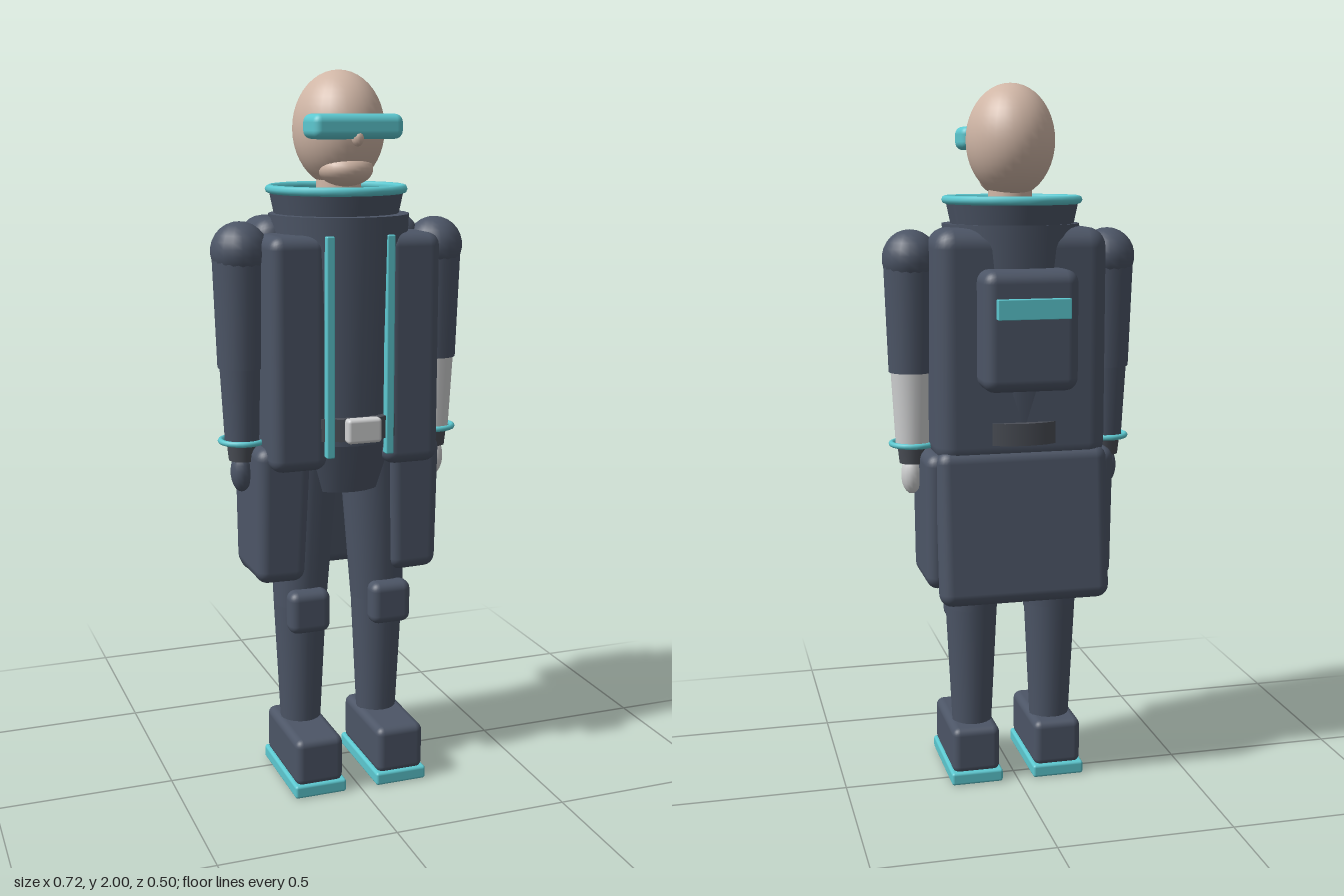
import * as THREE from 'three';
import { RoundedBoxGeometry } from 'three/addons/geometries/RoundedBoxGeometry.js';

const mat = (name, color, side = THREE.FrontSide) => {
  const m = new THREE.MeshStandardMaterial({ color, side });
  m.name = name;
  return m;
};

export function createModel() {
  const suit = mat('slate suit', 0x4c5566);
  const collarMat = mat('slate collar', 0x4c5566, THREE.DoubleSide);
  const trim = mat('cyan trim', 0x5cc8d0);
  const skin = mat('skin', 0xd0b6a6);
  const light = mat('light grey', 0xd0d1d2);
  const charcoal = mat('charcoal', 0x4a4e56);

  const model = new THREE.Group();
  model.name = 'suitedFigure';
  const Z = 0.037; // body axis

  const add = (name, geo, material, x, y, z) => {
    const mesh = new THREE.Mesh(geo, material);
    mesh.name = name;
    mesh.position.set(x, y, z);
    model.add(mesh);
    return mesh;
  };
  // Rounded box given by its limits; the bottom may be tapered
  const box = (name, material, [x0, x1], [y0, y1], [z0, z1], r = 0.02, taper = 1) => {
    const h = y1 - y0;
    const geo = new RoundedBoxGeometry(x1 - x0, h, z1 - z0, 3, r);
    if (taper !== 1) {
      const p = geo.attributes.position;
      for (let i = 0; i < p.count; i++) {
        const k = THREE.MathUtils.lerp(taper, 1, p.getY(i) / h + 0.5);
        p.setX(i, p.getX(i) * k);
        p.setZ(i, p.getZ(i) * k);
      }
    }
    return add(name, geo, material, (x0 + x1) / 2, (y0 + y1) / 2, (z0 + z1) / 2);
  };
  const ball = (name, material, x, y, z, rx, ry, rz, seg = 24) => {
    const geo = new THREE.SphereGeometry(1, seg, Math.round(seg * 0.7));
    geo.scale(rx, ry, rz);
    return add(name, geo, material, x, y, z);
  };
  // Upright tapered tube between two heights
  const limb = (name, material, x, z, y0, y1, r0, r1, open = false, seg = 20) =>
    add(name, new THREE.CylinderGeometry(r1, r0, y1 - y0, seg, 1, open), material, x, (y0 + y1) / 2, z);
  const ring = (name, x, y, z, r, tube) => {
    const geo = new THREE.TorusGeometry(r, tube, 8, 24);
    geo.rotateX(Math.PI / 2);
    return add(name, geo, trim, x, y, z);
  };
  // x limits mirrored to either side
  const mx = (s, a, b) => (s > 0 ? [a, b] : [-b, -a]);

  // Head
  ball('head', skin, 0, 1.845, 0.034, 0.123, 0.155, 0.142, 32);
  ball('chin', skin, 0, 1.74, 0.09, 0.075, 0.046, 0.075);
  ball('nose', skin, 0, 1.825, 0.182, 0.016, 0.024, 0.022, 12);
  limb('neck', skin, 0, Z, 1.58, 1.74, 0.065, 0.06);
  box('visor', trim, [-0.126, 0.126], [1.82, 1.885], [0.092, 0.202], 0.022);

  // Collar
  limb('collar', collarMat, 0, 0.018, 1.6, 1.685, 0.168, 0.186, true);
  ring('collarRing', 0, 1.685, 0.018, 0.184, 0.012);

  // Torso and jacket
  limb('torso', suit, 0, Z, 1.0, 1.62, 0.162, 0.193);
  limb('pelvis', suit, 0, Z, 0.86, 1.0, 0.12, 0.16);
  box('jacketBack', suit, [-0.243, 0.243], [0.96, 1.612], [-0.128, 0.06], 0.055);
  limb('belt', charcoal, 0, Z, 1.02, 1.082, 0.19, 0.19);
  box('buckle', light, [-0.049, 0.049], [1.018, 1.086], [0.215, 0.25], 0.01);
  for (const s of [1, -1]) {
    box('jacketPanel', suit, mx(s, 0.082, 0.243), [0.935, 1.572], [0.0, 0.195], 0.035);
    box('jacketStrip', trim, mx(s, 0.074, 0.097), [0.975, 1.572], [0.19, 0.215], 0.004);
  }

  // Backpack
  box('backpack', suit, [-0.132, 0.132], [1.178, 1.505], [-0.228, -0.08], 0.035);
  box('backpackLabel', trim, [-0.1, 0.1], [1.378, 1.432], [-0.25, -0.22], 0.002);

  // Rear skirt panel, leaning forward at the bottom
  const skirt = box('rearSkirt', suit, [-0.243, 0.243], [0.57, 1.005], [-0.16, -0.08], 0.035);
  skirt.rotation.x = 0.1;
  skirt.position.z = -0.115;

  for (const s of [1, -1]) {
    // Hip panel
    const hip = box('hipPanel', suit, mx(s, 0.115, 0.274), [0.605, 0.995], [-0.113, 0.148], 0.035, 0.88);
    hip.rotation.z = s * 0.02;

    // Leg
    const thigh = limb('thigh', suit, s * 0.11, Z, 0.515, 0.98, 0.076, 0.098);
    thigh.rotation.z = s * 0.035;
    limb('shin', suit, s * 0.118, Z, 0.12, 0.53, 0.056, 0.076);
    box('kneePad', suit, mx(s, 0.062, 0.182), [0.455, 0.578], [0.09, 0.155], 0.025);
    box('boot', suit, mx(s, 0.052, 0.192), [0.03, 0.168], [-0.058, 0.228], 0.022);
    box('sole', trim, mx(s, 0.046, 0.198), [0, 0.038], [-0.066, 0.234], 0.008);

    // Arm; the left forearm and hand are light
    const sleeve = s > 0 ? light : suit;
    const ax = s * 0.284;
    ball('shoulder', suit, ax, 1.525, Z + 0.003, 0.079, 0.08, 0.083, 18);
    limb('upperArm', suit, ax, Z + 0.003, 1.21, 1.53, 0.065, 0.076);
    limb('forearm', sleeve, ax, Z + 0.003, 1.0, 1.22, 0.048, 0.06);
    ring('wristRing', ax, 1.005, Z + 0.003, 0.06, 0.008);
    limb('gloveCuff', charcoal, ax, Z + 0.003, 0.95, 1.005, 0.038, 0.044);
    ball('hand', sleeve, s * 0.288, 0.915, Z + 0.003, 0.03, 0.056, 0.034, 16);
  }
  return model;
}
